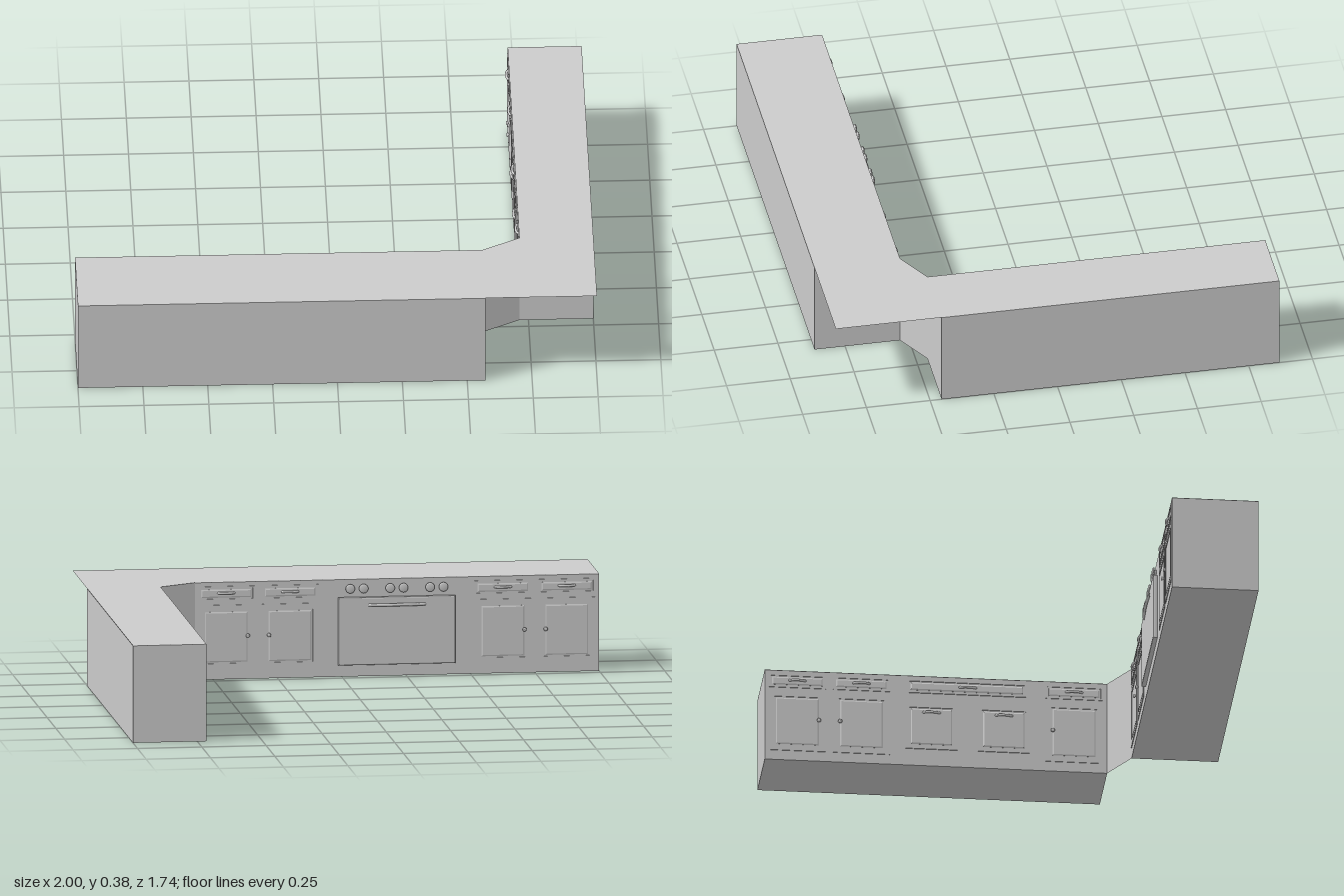
import * as THREE from 'three';

const H = 0.38;
const mat = new THREE.MeshStandardMaterial({ color: 0xcccccc, side: THREE.DoubleSide });

function add(parent, name, geo, x = 0, y = 0, z = 0) {
  const m = new THREE.Mesh(geo, mat);
  m.name = name;
  m.position.set(x, y, z);
  parent.add(m);
  return m;
}

function rect(target, w, h) {
  target.moveTo(-w / 2, -h / 2);
  target.lineTo(w / 2, -h / 2);
  target.lineTo(w / 2, h / 2);
  target.lineTo(-w / 2, h / 2);
  target.closePath();
  return target;
}

// Moulded front: a thin outer frame around a bevelled centre panel.
function mouldedFront(parent, name, u, y, w, h, border, depth = 0.003) {
  const g = new THREE.Group();
  g.name = name;
  g.position.set(u, y, 0);
  parent.add(g);
  const frame = rect(new THREE.Shape(), w, h);
  frame.holes.push(rect(new THREE.Path(), w - 2 * border, h - 2 * border));
  add(g, 'frame', new THREE.ExtrudeGeometry(frame, { depth, bevelEnabled: false }));
  const inset = border + 0.01;
  const panel = rect(new THREE.Shape(), w - 2 * inset, h - 2 * inset);
  add(g, 'panel', new THREE.ExtrudeGeometry(panel, {
    depth: 0.0005, bevelThickness: depth - 0.001, bevelSize: 0.005, bevelSegments: 1,
  }));
  return g;
}

// Bow handle curving out from the face.
function bowHandle(parent, u, y, width, reach, base = 0, r = 0.005) {
  const pts = [];
  for (let i = 0; i <= 10; i++) {
    const a = Math.PI * i / 10;
    pts.push(new THREE.Vector3(-Math.cos(a) * (width / 2 - r), 0, Math.sin(a) * (reach - r)));
  }
  const tube = new THREE.TubeGeometry(new THREE.CatmullRomCurve3(pts), 20, r, 8);
  add(parent, 'handle', tube, u, y, base);
}

// Round knob on a short stem.
function knob(parent, name, u, y, r, depth) {
  const profile = [[0.5, 0], [0.5, 0.4], [1, 0.55], [1, 0.8], [0.7, 1], [0, 1]]
    .map(([a, b]) => new THREE.Vector2(a * r, b * depth));
  add(parent, name, new THREE.LatheGeometry(profile, 14), u, y, 0).rotation.x = Math.PI / 2;
}

// Drawer above a door; side is the direction of the door knob.
function cupboard(parent, u, side) {
  mouldedFront(parent, 'drawer', u, 0.335, 0.22, 0.056, 0.007);
  bowHandle(parent, u, 0.337, 0.072, 0.015);
  mouldedFront(parent, 'door', u, 0.165, 0.22, 0.25, 0.022);
  knob(parent, 'doorKnob', u + side * 0.083, 0.17, 0.008, 0.014);
}

// Local frame of a run: x along the face, y up, z out of the face.
function run(root, name, x, z, angle) {
  const g = new THREE.Group();
  g.name = name;
  g.position.set(x, 0, z);
  g.rotation.y = angle;
  root.add(g);
  return g;
}

export function createModel() {
  const root = new THREE.Group();
  root.name = 'cornerKitchen';

  // Carcasses, open at the outer corner
  const bh = H - 0.001;
  add(root, 'frontCarcass', new THREE.BoxGeometry(1.57, bh, 0.335), -0.215, bh / 2, 0.7025);
  add(root, 'sideCarcass', new THREE.BoxGeometry(0.285, bh, 1.325), 0.8575, bh / 2, -0.2075);
  const diagonal = add(root, 'cornerPanel',
    new THREE.PlaneGeometry(Math.hypot(0.145, 0.08), H), 0.6425, H / 2, 0.495);
  diagonal.rotation.y = Math.atan2(0.08, 0.145);

  // L-shaped thin worktop
  const top = new THREE.Shape();
  [[-1, 0.87], [1, 0.87], [1, -0.87], [0.715, -0.87], [0.715, 0.455], [0.57, 0.535], [-1, 0.535]]
    .forEach(([x, z], i) => (i ? top.lineTo(x, -z) : top.moveTo(x, -z)));
  add(root, 'worktop', new THREE.ShapeGeometry(top), 0, H, 0).rotation.x = -Math.PI / 2;

  // Front run: two cupboard pairs either side of the oven
  const front = run(root, 'frontRun', 0, 0.535, Math.PI);
  for (const centre of [-0.325, 0.75]) {
    for (const s of [-1, 1]) cupboard(front, centre + s * 0.124, -s);
  }
  const oven = new THREE.Group();
  oven.name = 'oven';
  oven.position.x = 0.2125;
  front.add(oven);
  const door = rect(new THREE.Shape(), 0.445, 0.255);
  add(oven, 'ovenDoor', new THREE.ExtrudeGeometry(door, {
    depth: 0.008, bevelThickness: 0.006, bevelSize: 0.005, bevelSegments: 2,
  }), 0, 0.178, 0.004);
  bowHandle(oven, 0, 0.28, 0.23, 0.014, 0.017, 0.006);
  for (const c of [-0.155, 0, 0.155]) {
    for (const s of [-1, 1]) knob(oven, 'ovenKnob', c + s * 0.026, 0.344, 0.018, 0.017);
  }

  // Side run: cupboard pair, drawer unit, single cupboard
  const side = run(root, 'sideRun', 0.715, 0, -Math.PI / 2);
  for (const s of [-1, 1]) cupboard(side, -0.62 + s * 0.124, -s);
  mouldedFront(side, 'wideDrawer', -0.088, 0.335, 0.46, 0.056, 0.007, 0.004);
  bowHandle(side, -0.085, 0.337, 0.075, 0.015);
  for (const u of [-0.225, 0.055]) {
    mouldedFront(side, 'deepDrawer', u, 0.165, 0.2, 0.19, 0.015, 0.004);
    bowHandle(side, u, 0.225, 0.075, 0.015);
  }
  cupboard(side, 0.327, -1);

  return root;
}
